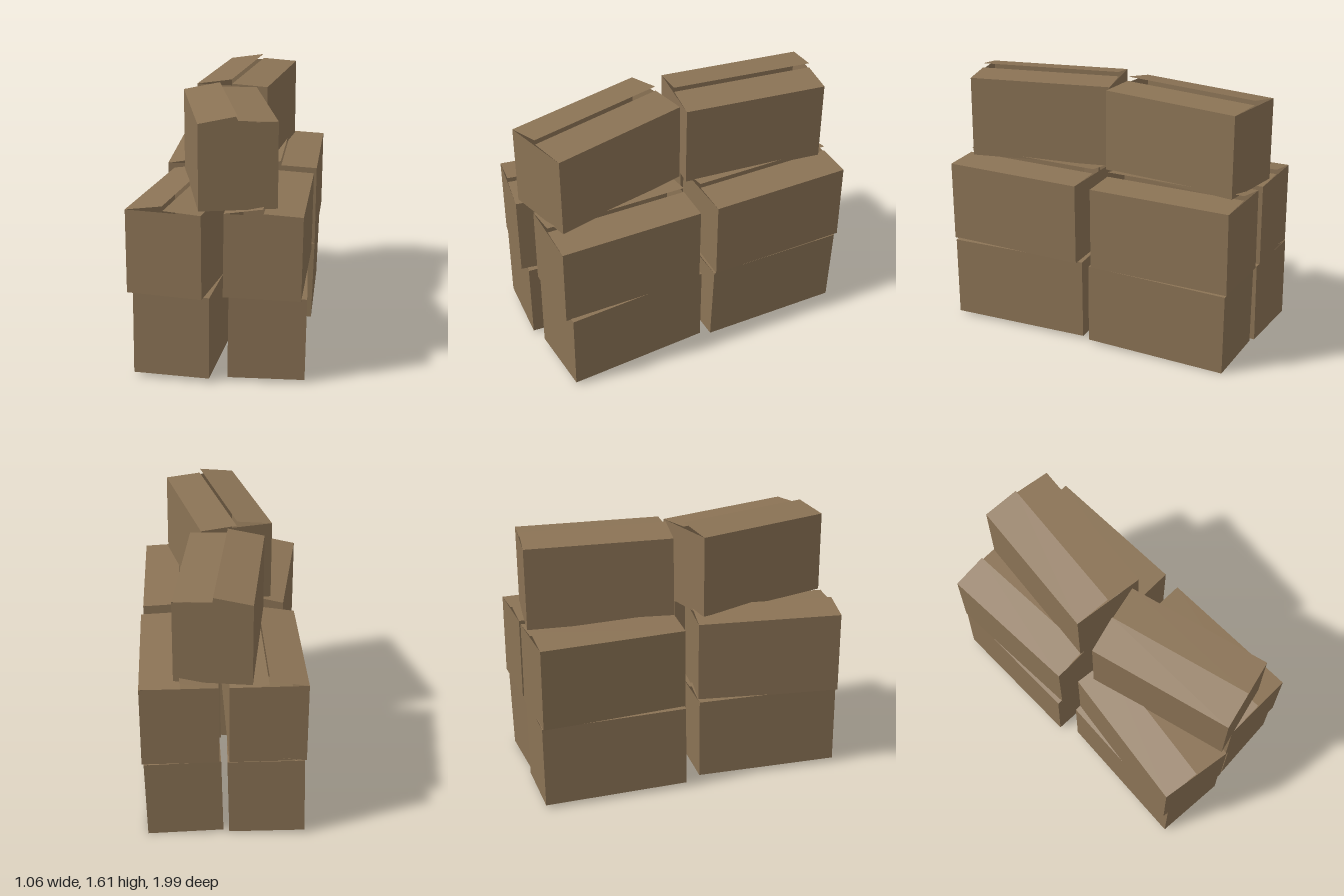
import * as THREE from 'three';

const W = 0.457, H = 0.51, L = 0.906;

export function createModel() {
  const model = new THREE.Group();
  model.name = 'cartonStack';
  const cardboard = new THREE.MeshStandardMaterial({ color: 0x8b7355, side: THREE.DoubleSide, flatShading: true });
  cardboard.name = 'cardboard';

  // Open-topped body: drop the +y face of a box
  const bodyGeo = new THREE.BoxGeometry(W, H, L);
  const index = Array.from(bodyGeo.index.array);
  index.splice(12, 6);
  bodyGeo.setIndex(index);
  bodyGeo.clearGroups();

  // Flap hinged on its outer edge, reaching to the middle of the box
  const flapGeo = new THREE.PlaneGeometry(W / 2, L).rotateX(-Math.PI / 2).translate(W / 4, 0, 0);

  function carton(name, [x, y, z], yaw, pitch = 0, roll = 0) {
    const box = new THREE.Group();
    box.name = name;
    const body = new THREE.Mesh(bodyGeo, cardboard);
    body.name = 'body';
    box.add(body);
    // Right flap almost shut, left flap lifted
    for (const [side, lift] of [[-1, 0.165], [1, 0.045]]) {
      const flap = new THREE.Mesh(flapGeo, cardboard);
      flap.name = side < 0 ? 'raisedFlap' : 'shutFlap';
      flap.position.set(side * W / 2, H / 2, 0);
      flap.rotation.set(0, side < 0 ? 0 : Math.PI, lift);
      box.add(flap);
    }
    box.position.set(x, y, z);
    box.rotation.set(pitch, yaw, roll, 'YXZ');
    model.add(box);
  }

  // Bottom layer
  carton('bottomFrontRightCarton', [-0.237, 0.285, 0.495], -0.065, 0, -0.008);
  carton('bottomFrontLeftCarton', [0.264, 0.28, 0.459], 0.07, 0, -0.015);
  carton('bottomBackRightCarton', [-0.258, 0.279, -0.53], -0.016, -0.005, -0.025);
  carton('bottomBackLeftCarton', [0.254, 0.276, -0.52], 0.028, -0.022, -0.028);

  // Middle layer
  carton('middleFrontRightCarton', [-0.236, 0.794, 0.514], -0.147);
  carton('middleFrontLeftCarton', [0.267, 0.788, 0.475], 0.007, 0, -0.014);
  carton('middleBackRightCarton', [-0.242, 0.793, -0.535], 0.03);
  carton('middleBackLeftCarton', [0.268, 0.789, -0.542], 0.016, 0, -0.008);

  // Top layer
  carton('topFrontCarton', [0.015, 1.322, 0.475], 0.25);
  carton('topBackCarton', [0.016, 1.317, -0.508], -0.115, -0.007);

  return model;
}
